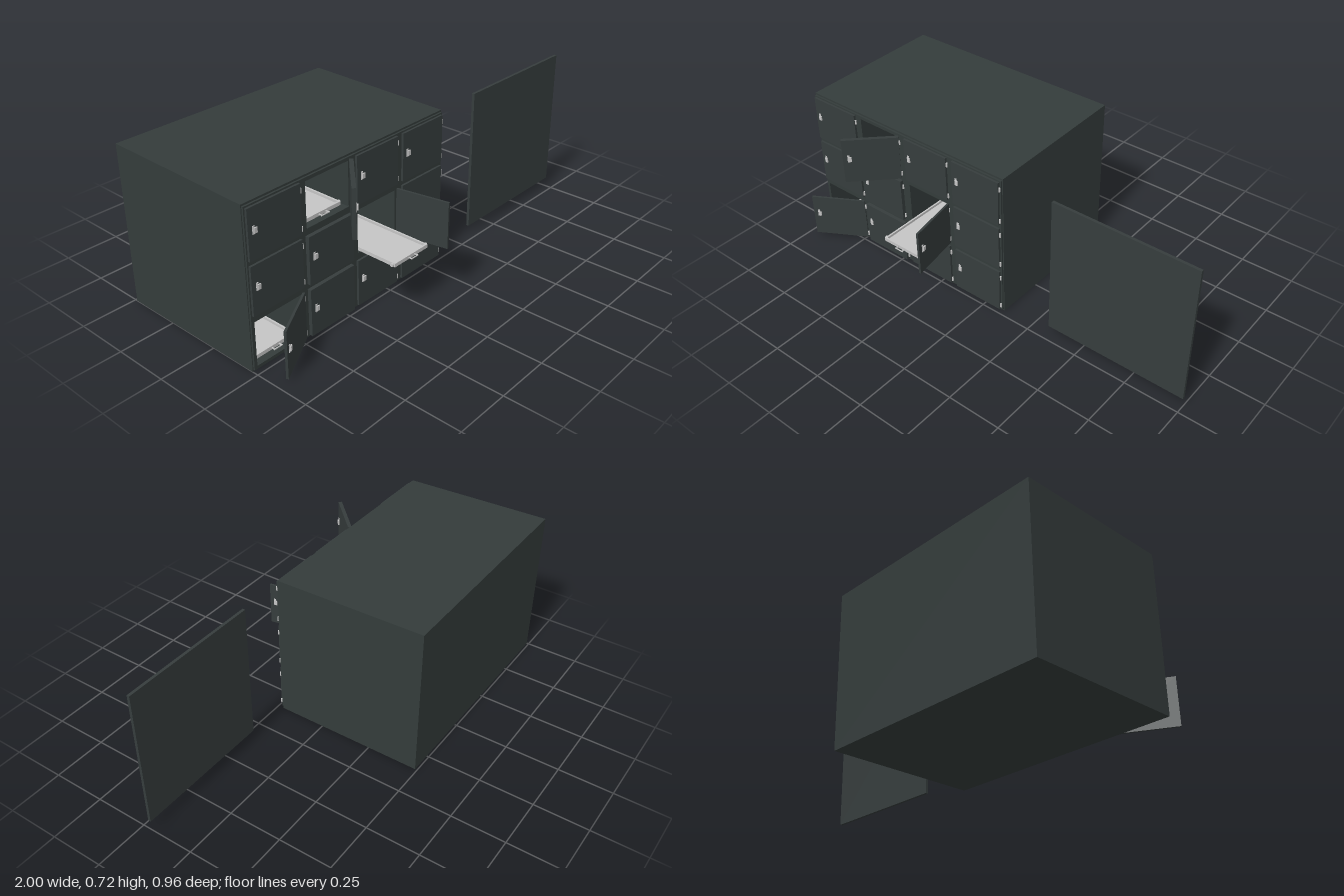
import * as THREE from 'three';

const mat = (name, color) => new THREE.MeshStandardMaterial({ name, color });

// door columns [left, right, front z] and rows [bottom, top]
const COLS = [[-0.99, -0.735, 0.24], [-0.71, -0.467, 0.247], [-0.435, -0.195, 0.24], [-0.163, 0.088, 0.24]];
const ROWS = [[0.014, 0.225], [0.248, 0.458], [0.478, 0.69]];
// open cells: column, row, door angle in degrees, front z of the tray
const OPEN = [[0, 0, 30, 0.2], [1, 2, 45, 0.2], [2, 1, 100, 0.415]];

export function createModel() {
  const body = mat('cabinet paint', 0x343c3b);
  const paint = mat('door paint', 0x363d3d);
  const steel = mat('brushed steel', 0xc6c6c6);
  const root = new THREE.Group();
  root.name = 'bodyStorageCabinet';

  const add = (parent, name, geo, material, x = 0, y = 0, z = 0) => {
    const m = new THREE.Mesh(geo, material);
    m.name = name;
    m.position.set(x, y, z);
    parent.add(m);
    return m;
  };
  const box = (parent, name, material, x0, x1, y0, y1, z0, z1) =>
    add(parent, name, new THREE.BoxGeometry(x1 - x0, y1 - y0, z1 - z0), material,
      (x0 + x1) / 2, (y0 + y1) / 2, (z0 + z1) / 2);

  // rectangle with a hole for every open cell, extruded along z
  const shell = (x0, x1, y0, y1, z0, z1) => {
    const rect = (T, a, b, c, d) => {
      const s = new T();
      s.moveTo(a, c); s.lineTo(b, c); s.lineTo(b, d); s.lineTo(a, d); s.closePath();
      return s;
    };
    const shape = rect(THREE.Shape, x0, x1, y0, y1);
    for (const [c, r] of OPEN)
      shape.holes.push(rect(THREE.Path, COLS[c][0] + 0.008, COLS[c][1] - 0.008, ROWS[r][0] + 0.008, ROWS[r][1] - 0.008));
    return new THREE.ExtrudeGeometry(shape, { depth: z1 - z0, bevelEnabled: false }).translate(0, 0, z0);
  };
  // raise the top towards the back
  const slopeTop = (geo) => {
    const p = geo.attributes.position;
    for (let i = 0; i < p.count; i++)
      if (p.getY(i) > 0.7) p.setY(i, 0.705 + 0.012 * (0.222 - p.getZ(i)) / 0.712);
    geo.computeVertexNormals();
    return geo;
  };

  // cabinet body, back and front frame
  add(root, 'cabinetBody', slopeTop(shell(-1, 0.1, 0, 0.705, -0.47, 0.222)), body);
  add(root, 'cabinetBack', slopeTop(new THREE.BoxGeometry(1.1, 0.705, 0.02).translate(-0.45, 0.3525, -0.48)), body);
  add(root, 'frontFrame', shell(-0.996, 0.096, 0.008, 0.697, 0.222, 0.23), body);

  // door hung on its right edge, with latch and hinges
  const door = (x0, x1, y0, y1, zf, angle) => {
    const w = x1 - x0, h = y1 - y0, ym = y0 + h * 0.57;
    const g = new THREE.Group();
    g.name = 'door';
    g.position.set(x1, 0, 0.235);
    g.rotation.y = THREE.MathUtils.degToRad(angle);
    root.add(g);
    const f = zf - 0.235;
    box(g, 'doorPanel', paint, -w, 0, y0, y1, -0.005, f);
    box(g, 'latchPlate', steel, -w + 0.02, -w + 0.03, ym - 0.017, ym + 0.017, f, f + 0.003);
    box(g, 'latchLever', steel, -w + 0.023, -w + 0.038, ym - 0.012, ym + 0.01, f + 0.003, f + 0.008);
    for (const y of [y0 + 0.022, y1 - 0.032])
      add(root, 'hinge', new THREE.CylinderGeometry(0.004, 0.004, 0.02, 8), steel, x1 + 0.004, y, 0.235);
  };
  COLS.forEach(([x0, x1, zf], c) => ROWS.forEach(([y0, y1], r) => {
    const o = OPEN.find((e) => e[0] === c && e[1] === r);
    door(x0, x1, y0, y1, zf, o ? o[2] : 0);
  }));

  // sliding tray with raised rim, corner rollers and pull handle
  for (const [c, r, , zf] of OPEN) {
    const t = new THREE.Group();
    t.name = 'tray';
    t.position.set((COLS[c][0] + COLS[c][1]) / 2, ROWS[r][0] + 0.009, zf);
    root.add(t);
    const L = 0.6, w = 0.1;
    box(t, 'trayFloor', steel, -w, w, 0.002, 0.007, -L, 0);
    for (const s of [-1, 1]) {
      box(t, 'trayRim', steel, s * (w - 0.004) - 0.004, s * (w - 0.004) + 0.004, 0.007, 0.018, -L, 0);
      add(t, 'trayRoller', new THREE.CylinderGeometry(0.008, 0.008, 0.008, 12).rotateZ(Math.PI / 2),
        steel, s * (w + 0.003), 0.009, -0.014);
    }
    for (const z of [-L, -0.008])
      box(t, 'trayEnd', steel, -w + 0.008, w - 0.008, 0.007, 0.018, z, z + 0.008);
    for (const s of [-1, 1])
      box(t, 'handlePost', steel, s * 0.018 - 0.002, s * 0.018 + 0.002, 0.008, 0.012, 0, 0.014);
    box(t, 'handleBar', steel, -0.022, 0.022, 0.008, 0.012, 0.014, 0.018);
  }

  // separate flat panel beside the cabinet
  box(root, 'loosePanel', paint, 0.34, 1, 0.047, 0.702, 0.205, 0.218);

  return root;
}
